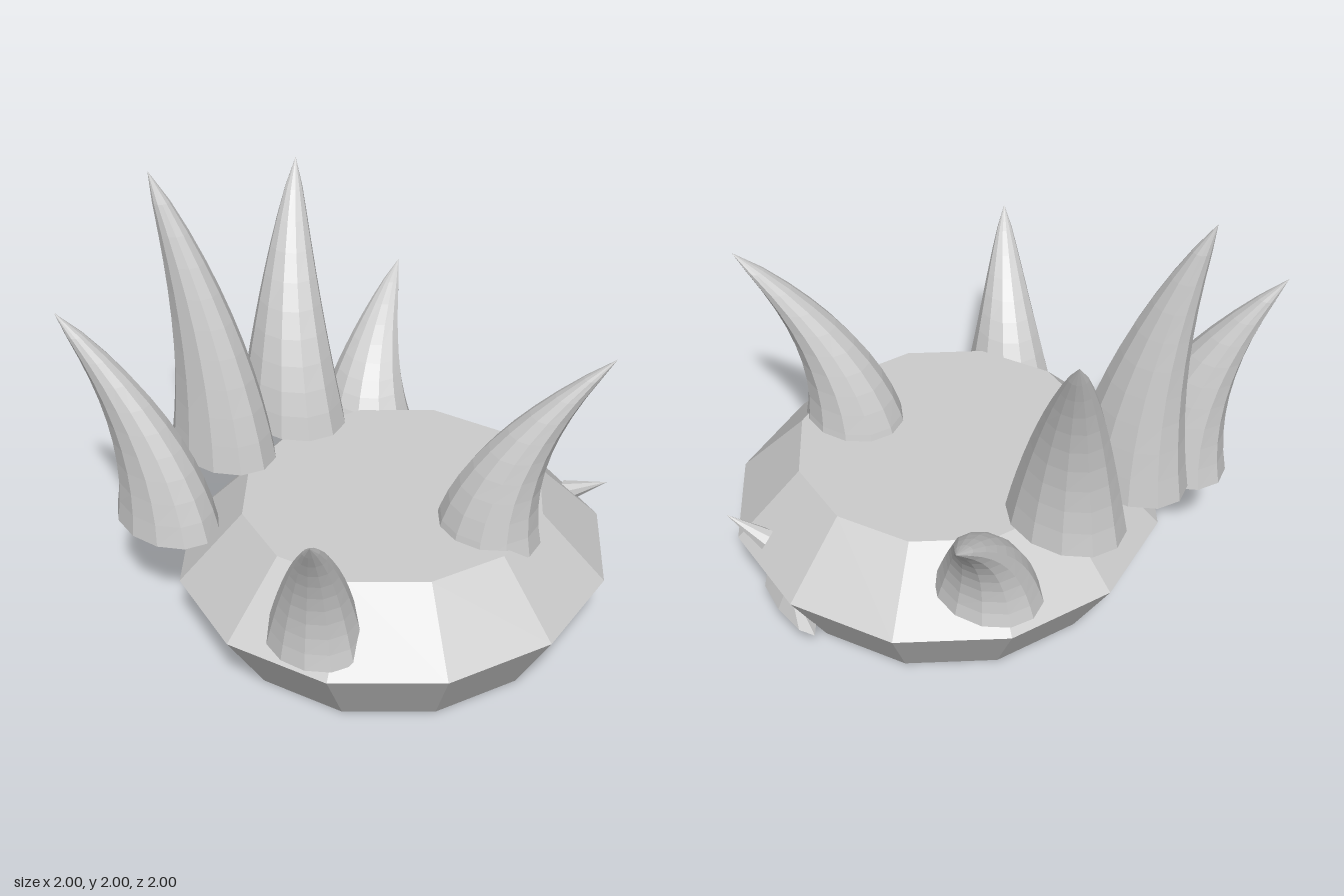
import * as THREE from 'three';

const stone = new THREE.MeshStandardMaterial({ color: 0xcccccc });
stone.name = 'pale grey';

// Faceted mesh: every face gets its own flat normal
function facet(name, geometry) {
  const flat = geometry.toNonIndexed();
  flat.computeVertexNormals();
  const mesh = new THREE.Mesh(flat, stone);
  mesh.name = name;
  return mesh;
}

// Curved spike: level elliptical rings that taper and drift toward the tip
function spike(name, base, half, tip) {
  const geometry = new THREE.ConeGeometry(1, 1, 12, 10);
  const p = geometry.attributes.position;
  for (let i = 0; i < p.count; i++) {
    const t = p.getY(i) + 0.5;
    const left = Math.max(1 - t, 1e-6);
    const widen = Math.pow(left, -0.27);
    const drift = Math.pow(t, 2.1);
    p.setXYZ(
      i,
      base[0] + (tip[0] - base[0]) * drift + p.getX(i) * half[0] * widen,
      base[1] + (tip[1] - base[1]) * t,
      base[2] + (tip[2] - base[2]) * Math.pow(t, 1.9) + p.getZ(i) * half[1] * Math.pow(left, -0.15)
    );
  }
  return facet(name, geometry);
}

export function createModel() {
  const model = new THREE.Group();
  model.name = 'spikedCreature';

  // Twelve-sided body, widest at mid height
  const profile = [[0, 0], [0.80, 0], [1, 0.32], [0.70, 0.63], [0, 0.63]];
  const body = new THREE.LatheGeometry(profile.map(([r, y]) => new THREE.Vector2(r, y)), 12);
  body.scale(0.983, 1, 0.955).translate(0.012, 0, 0.045);
  model.add(facet('body', body));

  // Spikes: name, base centre, base half widths in x and z, tip
  const spikes = [
    ['tallBackSpike', [-0.33, 0.67, -0.71], [0.205, 0.28], [-0.46, 2.0, -0.96]],
    ['leftBackSpike', [0.08, 0.67, -0.70], [0.22, 0.28], [0.39, 1.78, -0.98]],
    ['rightBackSpike', [-0.715, 0.49, -0.65], [0.2, 0.275], [-0.97, 1.5, -1.0]],
    ['leftSideSpike', [0.485, 0.49, -0.63], [0.205, 0.25], [0.91, 1.11, -0.84]],
    ['rightFrontSpike', [-0.72, 0.37, 0.325], [0.195, 0.235], [-1.0, 1.15, 0.62]],
    ['leftFrontSpike', [0.145, 0.57, 0.49], [0.215, 0.25], [0.47, 1.48, 0.88]],
  ];
  for (const s of spikes) model.add(spike(...s));

  // Small thorn on the left flank, pointing forward and up
  const root = new THREE.Vector3(0.83, 0.385, 0.36);
  const axis = new THREE.Vector3(0.91, 0.48, 0.53).sub(root);
  const thorn = facet('thorn', new THREE.ConeGeometry(0.05, axis.length(), 8));
  thorn.position.copy(root).addScaledVector(axis, 0.5);
  thorn.quaternion.setFromUnitVectors(new THREE.Vector3(0, 1, 0), axis.clone().normalize());
  model.add(thorn);

  // Low flat-bottomed ledge beneath the thorn, following the wall
  const ledge = new THREE.CylinderGeometry(0.25, 1, 0.1, 8);
  ledge.scale(0.06, 1, 0.228).rotateY(-0.27).translate(0.855, 0.16, 0.21);
  model.add(facet('ledge', ledge));

  return model;
}
